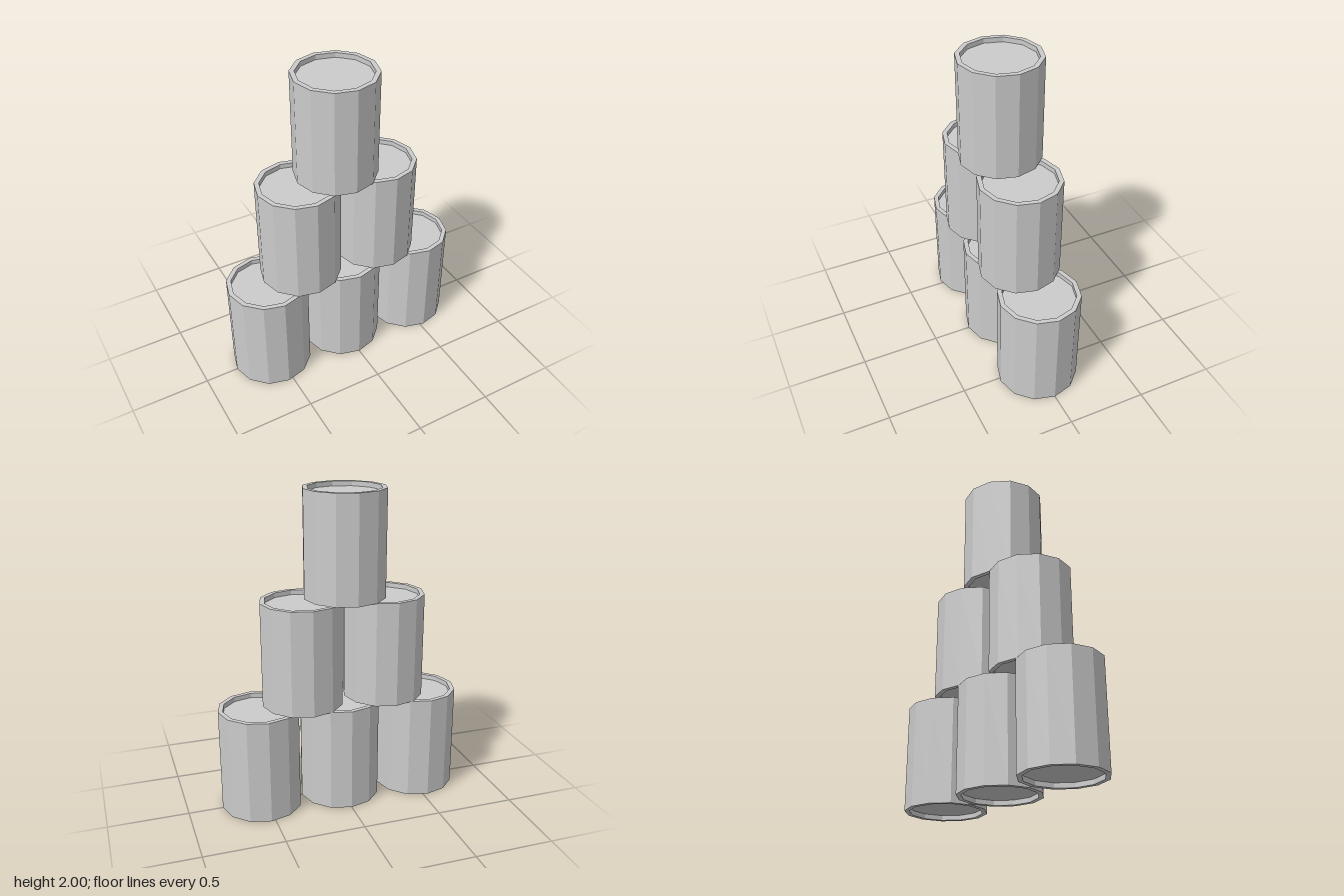
import * as THREE from 'three';

const RADIUS = 0.257, INNER = 0.227, HEIGHT = 2 / 3, RECESS = 0.03;

// Closed twelve-sided can with a raised rim at both ends
function canGeometry() {
  const profile = [
    [0, RECESS], [INNER, RECESS], [INNER, 0], [RADIUS, 0],
    [RADIUS, HEIGHT], [INNER, HEIGHT], [INNER, HEIGHT - RECESS], [0, HEIGHT - RECESS],
  ].map(([r, y]) => new THREE.Vector2(r, y));
  return new THREE.LatheGeometry(profile, 12);
}

export function createModel() {
  const model = new THREE.Group();
  model.name = 'canPyramid';
  const material = new THREE.MeshStandardMaterial({ color: 0xcccccc, flatShading: true });
  const geometry = canGeometry();

  // Slightly uneven x positions of the cans, row by row from the bottom
  const rows = [
    ['bottomCan', [-0.53, 0, 0.526]],
    ['middleCan', [-0.293, 0.243]],
    ['topCan', [-0.035]],
  ];
  rows.forEach(([name, xs], row) => xs.forEach((x, i) => {
    const can = new THREE.Mesh(geometry, material);
    can.name = xs.length > 1 ? name + (i + 1) : name;
    can.position.set(x, row * HEIGHT, 0);
    model.add(can);
  }));
  return model;
}
